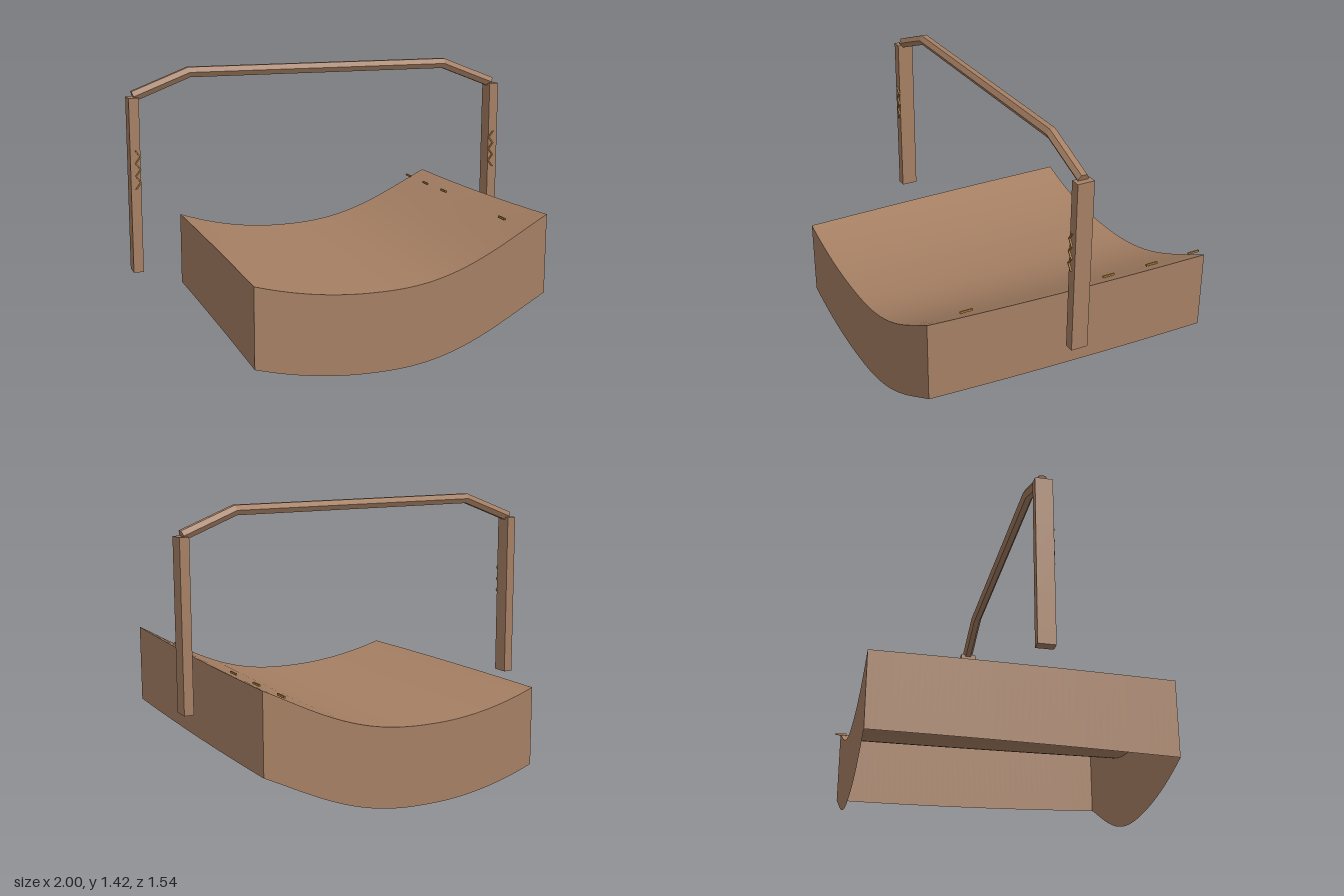
import * as THREE from 'three';

const X0 = -0.58, X1 = 0.92, Z0 = -0.735, Z1 = 0.768;

// Height of the curved ground: a dip at x = 0, steeper towards +x
function groundHeight(x, z) {
  const t = (z - Z0) / (Z1 - Z0), w = t * t;
  if (x < 0) return 0.4 + x * x * THREE.MathUtils.lerp(0.312, 0.253, w);
  const rise = x * x * (0.384 - 0.47 * (x - 0.75) ** 2);
  return 0.4 + rise * THREE.MathUtils.lerp(0.87, 1, w);
}

export function createModel() {
  const model = new THREE.Group();
  model.name = 'curvedGroundWithGate';

  const brown = new THREE.MeshStandardMaterial({ color: 0xa57f63, side: THREE.DoubleSide });
  brown.name = 'brown';
  const gold = new THREE.MeshStandardMaterial({ color: 0xb0803a, side: THREE.DoubleSide });
  gold.name = 'gold';

  const add = (name, geometry, material, parent = model) => {
    const mesh = new THREE.Mesh(geometry, material);
    mesh.name = name;
    parent.add(mesh);
    return mesh;
  };

  // Ground: a sheet from a grid of (u, v), each mapped to a point
  const sheet = (nu, nv, point) => {
    const g = new THREE.PlaneGeometry(1, 1, nu, nv);
    const p = g.attributes.position;
    for (let i = 0; i < p.count; i++) p.setXYZ(i, ...point(p.getX(i) + 0.5, p.getY(i) + 0.5));
    g.computeVertexNormals();
    return g;
  };
  const lerp = THREE.MathUtils.lerp;
  const ground = new THREE.Group();
  ground.name = 'ground';
  model.add(ground);
  add('groundTop', sheet(48, 24, (u, v) => {
    const x = lerp(X0, X1, u), z = lerp(Z1, Z0, v);
    return [x, groundHeight(x, z), z];
  }), brown, ground);

  // Skirts hanging 0.4 below each edge, open underneath
  const skirt = (name, xa, za, xb, zb) => add(name, sheet(48, 1, (u, v) => {
    const x = lerp(xa, xb, u), z = lerp(za, zb, u);
    return [x, groundHeight(x, z) - 0.4 * (1 - v), z];
  }), brown, ground);
  skirt('frontSkirt', X0, Z1, X1, Z1);
  skirt('leftSkirt', X1, Z1, X1, Z0);
  skirt('backSkirt', X1, Z0, X0, Z0);
  skirt('rightSkirt', X0, Z0, X0, Z1);

  // Posts: stacked blocks, with a zigzag strip on the front face
  const levels = [0.405, 0.495, 0.667, 0.845, 1.02, 1.28];
  for (const side of [-1, 1]) {
    const post = new THREE.Group();
    post.name = side > 0 ? 'leftPost' : 'rightPost';
    model.add(post);
    for (let i = 0; i < levels.length - 1; i++) {
      const h = levels[i + 1] - levels[i];
      add('postBlock', new THREE.BoxGeometry(0.05, h, 0.087), brown, post)
        .position.set(side * 0.974, levels[i] + h / 2, 0.019);
    }
    const outline = [], back = [];
    for (let i = 0; i <= 6; i++) {
      const x = side * (i % 2 ? 0.946 : 0.97), y = 0.83 + i * 0.032;
      outline.push(new THREE.Vector2(x, y));
      back.unshift(new THREE.Vector2(x + side * 0.008, y));
    }
    const zigzag = new THREE.ExtrudeGeometry(new THREE.Shape([...outline, ...back]),
      { depth: 0.008, bevelEnabled: false });
    add('zigzagStrip', zigzag, gold, post).position.z = 0.063;
  }

  // Top beam: a six-sided bar along a bent path, mitred at the bends
  const path = [[-0.97, 1.285], [-0.688, 1.394], [0.688, 1.394], [0.97, 1.285]]
    .map(([x, y]) => new THREE.Vector2(x, y));
  const R = 0.029;
  const rings = path.map((p, i) => {
    const a = path[Math.max(i - 1, 0)], b = path[Math.min(i + 1, 3)];
    const d0 = (i ? p.clone().sub(a) : b.clone().sub(p)).normalize();
    const d1 = (i < 3 ? b.clone().sub(p) : d0.clone()).normalize();
    const n = new THREE.Vector2(-d0.y - d1.y, d0.x + d1.x).normalize();
    const stretch = 1 / (n.x * -d0.y + n.y * d0.x);
    return Array.from({ length: 6 }, (_, k) => {
      const s = Math.sin(k * Math.PI / 3) * R * stretch;
      return [p.x + n.x * s, p.y + n.y * s, 0.018 + Math.cos(k * Math.PI / 3) * R];
    });
  });
  const tri = [];
  for (let i = 0; i < 3; i++) {
    for (let k = 0; k < 6; k++) {
      const m = (k + 1) % 6;
      const a = rings[i][k], b = rings[i + 1][k], c = rings[i + 1][m], d = rings[i][m];
      tri.push(...a, ...b, ...c, ...a, ...c, ...d);
    }
  }
  for (let k = 1; k < 5; k++) {
    tri.push(...rings[0][0], ...rings[0][k], ...rings[0][k + 1]);
    tri.push(...rings[3][0], ...rings[3][k + 1], ...rings[3][k]);
  }
  const beam = new THREE.BufferGeometry();
  beam.setAttribute('position', new THREE.Float32BufferAttribute(tri, 3));
  beam.computeVertexNormals();
  add('topBeam', beam, brown);

  // Small pegs resting along the high edge
  for (const [x, z] of [[0.83, -0.738], [0.83, -0.488], [0.83, -0.238], [0.805, 0.518]]) {
    add('peg', new THREE.BoxGeometry(0.007, 0.01, 0.065), gold)
      .position.set(x, groundHeight(x, z) + 0.012, z);
  }
  return model;
}
